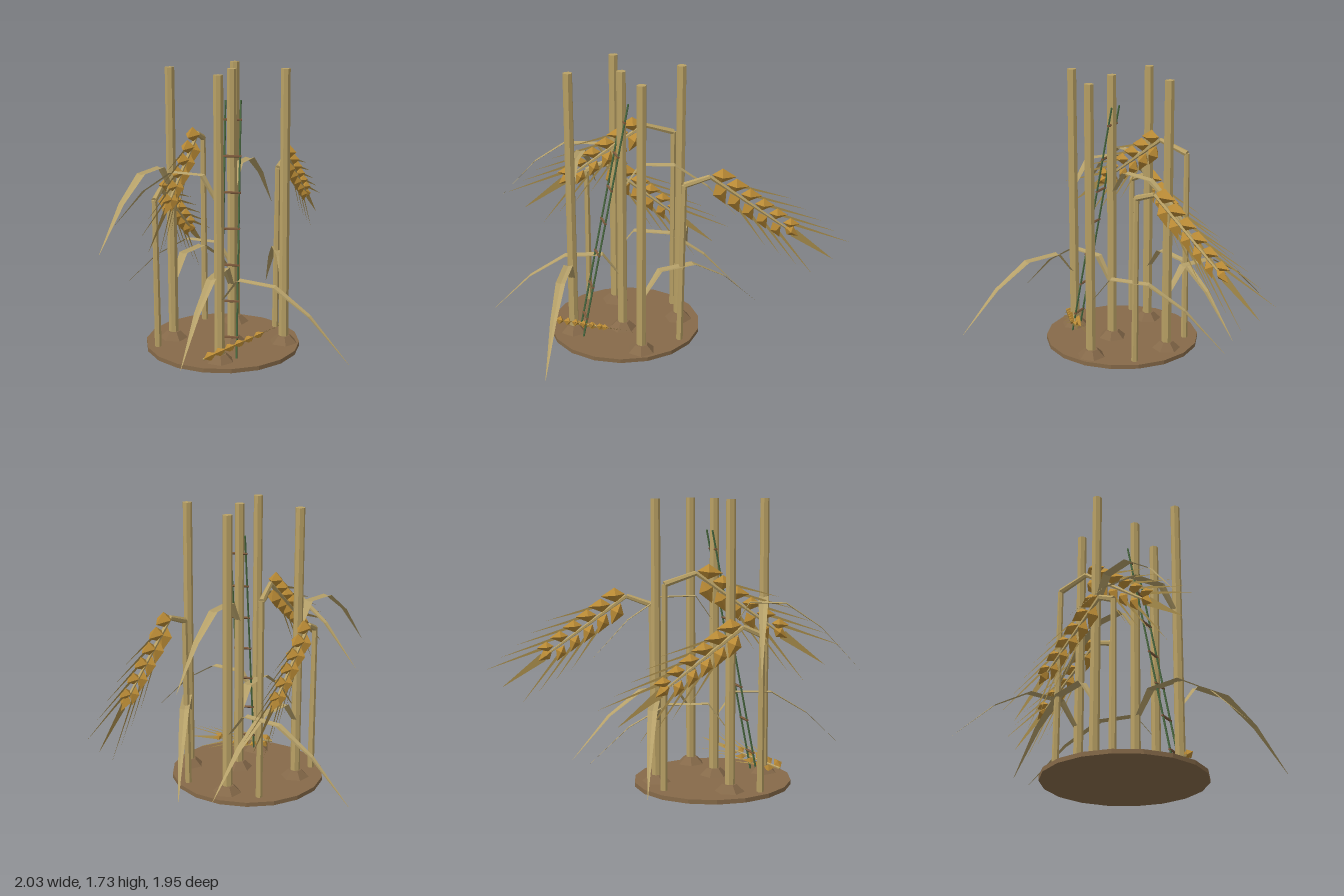
import * as THREE from 'three';

const mat = (name, color, extra = {}) => {
  const m = new THREE.MeshStandardMaterial({ color, flatShading: true, ...extra });
  m.name = name;
  return m;
};
const V = (x, y, z) => new THREE.Vector3(x, y, z);
const UP = V(0, 1, 0);

export function createModel() {
  const model = new THREE.Group();
  const straw = mat('straw', 0xb9a165);
  const leafStraw = mat('leaf straw', 0xb5a069, { side: THREE.DoubleSide });
  const grainGold = mat('grain gold', 0xb98a35);
  const awnStraw = mat('awn straw', 0xa58a4a, { side: THREE.DoubleSide });
  const soil = mat('soil', 0x866a49);
  const mound = mat('mound earth', 0x866a4a);
  const green = mat('ladder green', 0x48683f);
  const wood = mat('rung wood', 0x7d5a3c);

  const add = (parent, name, geo, material) => {
    const m = new THREE.Mesh(geo, material);
    m.name = name;
    parent.add(m);
    return m;
  };
  // Tapered rod between two points
  const rod = (parent, name, a, b, r0, r1, sides, material) => {
    const d = b.clone().sub(a);
    const m = add(parent, name, new THREE.CylinderGeometry(r1, r0, d.length(), sides), material);
    m.position.copy(a).add(b).multiplyScalar(0.5);
    m.quaternion.setFromUnitVectors(UP, d.normalize());
    return m;
  };

  // Ground disc, slightly longer front to back
  const ground = add(model, 'ground', new THREE.CylinderGeometry(0.48, 0.48, 0.026, 18), soil);
  ground.position.set(-0.127, 0.013, -0.022);
  ground.scale.set(0.99, 1, 1.015);

  // Tall stalks with earth mounds
  const stalks = [[-0.382, -0.2], [-0.293, 0.282], [-0.09, 0.042], [0.095, -0.292], [0.195, 0.18]];
  stalks.forEach(([x, z], i) => {
    rod(model, 'stalk', V(x, 0.02, z), V(x, 1.725, z), 0.031, 0.029, 7, straw);
    const m = add(model, 'mound', new THREE.CylinderGeometry(0.042, 0.09, 0.046, 6), mound);
    m.position.set(x, 0.047, z);
    m.rotation.y = i * 0.7;
  });

  // Arched leaf: a creased strip following a bent profile to its tip
  const profile = [[0, 0, 0.018], [0.15, 0.165, 0.029], [0.43, 0.16, 0.029], [0.7, 0.025, 0.019], [1, -0.215, 0.001]];
  const leaf = (stalk, tipX, tipZ, y) => {
    const [sx, sz] = stalks[stalk];
    const dx = tipX - sx, dz = tipZ - sz, len = Math.hypot(dx, dz);
    const pos = [], idx = [];
    profile.forEach(([t, h, w], i) => {
      const px = sx + dx * t, pz = sz + dz * t, ox = -dz / len * w, oz = dx / len * w;
      pos.push(px - ox, y + h + w * 0.25, pz - oz, px, y + h, pz, px + ox, y + h + w * 0.25, pz + oz);
      if (i) {
        const a = i * 3 - 3;
        for (const k of [a, a + 1]) idx.push(k, k + 1, k + 3, k + 1, k + 4, k + 3);
      }
    });
    const g = new THREE.BufferGeometry();
    g.setAttribute('position', new THREE.Float32BufferAttribute(pos, 3));
    g.setIndex(idx);
    g.computeVertexNormals();
    add(model, 'leaf', g, leafStraw);
  };
  leaf(0, 0.31, -0.68, 0.375);
  leaf(1, 0.175, 0.97, 0.375);
  leaf(2, -0.69, 0.615, 0.375);
  leaf(3, -0.4, -0.975, 0.375);
  leaf(4, 0.49, -0.61, 0.375);
  leaf(0, -1.0, 0.215, 0.97);
  leaf(1, -0.7, -0.35, 0.97);
  leaf(2, 0.455, -0.47, 0.97);

  // Grain: four-sided pointed kernel along +x, base at origin
  const grainGeo = new THREE.LatheGeometry(
    [[0, 0], [0.042, 0.055], [0, 0.135]].map(p => new THREE.Vector2(...p)), 4);
  grainGeo.rotateZ(-Math.PI / 2);
  // Awn: flat needle along +x
  const awnShape = new THREE.Shape([new THREE.Vector2(0, -0.009), new THREE.Vector2(0.35, 0), new THREE.Vector2(0, 0.009)]);
  const awnGeo = new THREE.ShapeGeometry(awnShape);

  // Ear of grain from a to b, its two rows spread along the side direction
  const ear = (name, a, b, side, size) => {
    const g = new THREE.Group();
    g.name = name;
    const X = b.clone().sub(a), L = X.length() / size;
    X.normalize();
    const Z = X.clone().cross(side).normalize();
    g.quaternion.setFromRotationMatrix(new THREE.Matrix4().makeBasis(X, Z.clone().cross(X), Z));
    g.position.copy(a);
    g.scale.setScalar(size);
    rod(g, 'earStem', V(0, 0, 0), V(L * 0.93, 0, 0), 0.013, 0.007, 5, straw);
    const n = 11;
    for (let i = 0; i < n; i++) {
      const s = i % 2 ? -1 : 1, x = i / n * (L - 0.08), k = 1.1 - 0.35 * i / n;
      const kernel = add(g, 'grain', grainGeo, grainGold);
      kernel.position.set(x, s * 0.016, 0);
      kernel.rotation.z = s * 0.52;
      kernel.scale.setScalar(k);
      if (i < 2) continue;
      const awn = add(g, 'awn', awnGeo, awnStraw);
      awn.position.set(x + 0.09 * k, s * 0.06 * k, 0);
      awn.rotation.z = s * (0.38 - 0.01 * i);
      awn.scale.x = 0.82 + 0.025 * i;
    }
    const end = add(g, 'grain', grainGeo, grainGold);
    end.position.x = L - 0.11;
    end.scale.setScalar(0.8);
    const tip = add(g, 'tipAwn', awnGeo, awnStraw);
    tip.position.x = L - 0.04;
    tip.scale.set(0.9, 3, 1);
    model.add(g);
  };

  // Drooping ears on bent stems: base, bend, peak, ear end
  [
    [V(-0.53, 0.02, -0.1), V(-0.535, 0.95, -0.1), V(-0.46, 1.0, -0.18), V(-0.09, 0.6, -0.53)],
    [V(-0.065, 0.02, -0.42), V(-0.07, 1.24, -0.415), V(-0.18, 1.3, -0.26), V(-0.57, 0.91, 0.12)],
    [V(0.28, 0.02, -0.085), V(0.295, 1.07, -0.09), V(0.41, 1.125, -0.19), V(0.8, 0.73, -0.575)],
  ].forEach(([base, bend, peak, end]) => {
    rod(model, 'earStalk', base, bend, 0.021, 0.017, 6, straw);
    rod(model, 'bentNeck', bend, peak, 0.019, 0.015, 6, straw);
    ear('droopingEar', peak, end, UP, 1);
  });

  // Fallen ear on the ground
  ear('fallenEar', V(-0.41, 0.06, 0.3), V(0.01, 0.15, 0.275), V(0, 0.6, 1), 0.6);

  // Ladder leaning on the middle stalk
  const foot = V(-0.23, 0.02, 0.275), top = V(-0.071, 1.535, 0.02);
  const across = V(0.039, 0, 0.024);
  const ladder = new THREE.Group();
  ladder.name = 'ladder';
  for (const s of [-1, 1]) {
    const o = across.clone().multiplyScalar(s);
    rod(ladder, 'rail', foot.clone().add(o), top.clone().add(o), 0.0065, 0.006, 5, green);
  }
  for (let i = 0; i < 7; i++) {
    const c = foot.clone().lerp(top, (0.13 + i * 0.212) / 1.515);
    const o = across.clone().multiplyScalar(1.2);
    rod(ladder, 'rung', c.clone().sub(o), c.clone().add(o), 0.008, 0.008, 5, wood);
  }
  model.add(ladder);

  return model;
}
